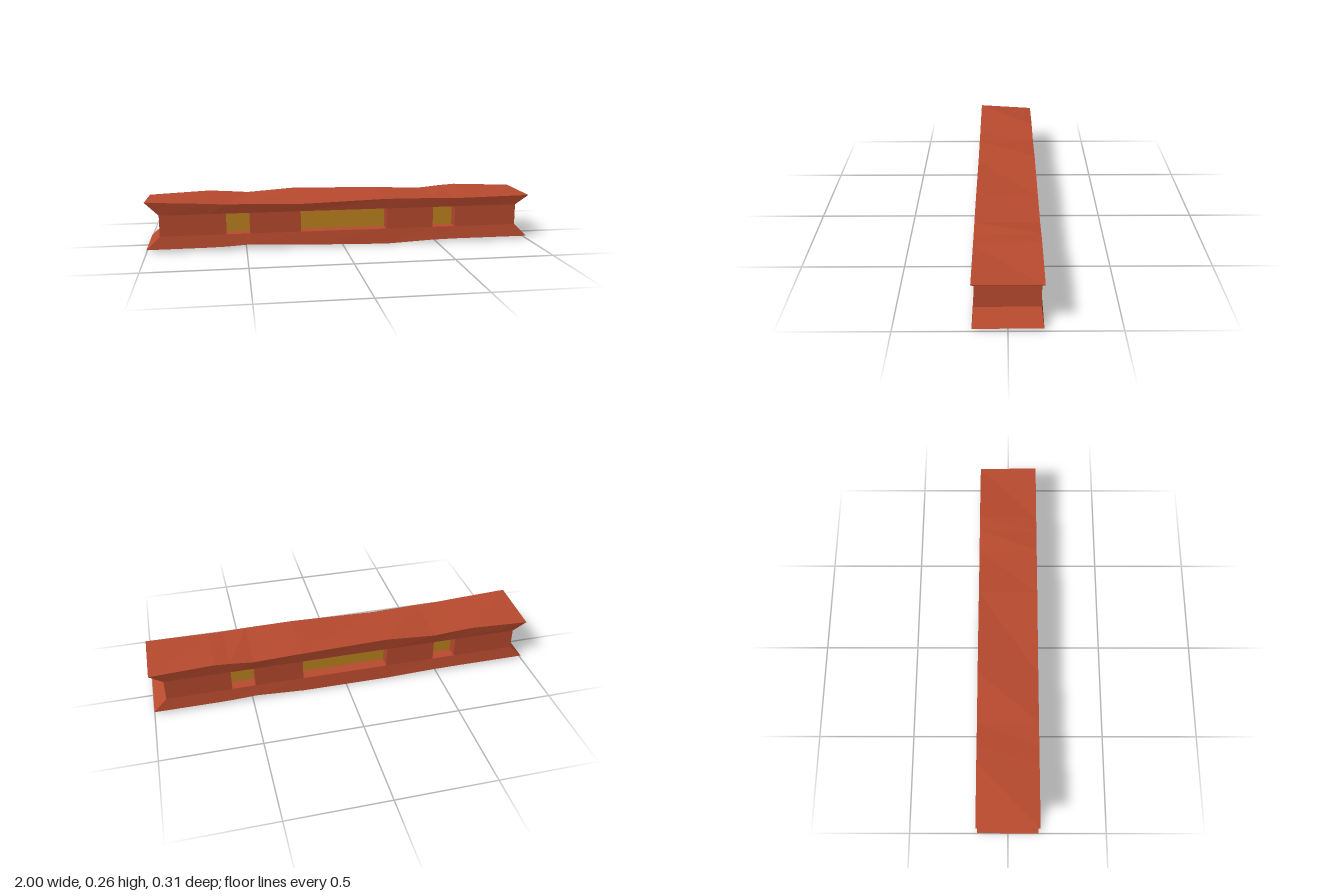
import * as THREE from 'three';

// Stations along the beam; the windows fill the waist between some of them
const X = [-1, -0.69, -0.6, -0.48, -0.22, 0.23, 0.48, 0.6, 0.68, 1];
const TOP_FRONT = [0.258, 0.243, 0.237, 0.236, 0.228, 0.241, 0.238, 0.234, 0.235, 0.239];
const TOP_BACK = [0.238, 0.252, 0.247, 0.238, 0.256, 0.245, 0.236, 0.247, 0.252, 0.238];
const BASE_FRONT = [0.015, 0.016, 0.018, 0.025, 0.013, 0.001, 0.013, 0.015, 0.015, 0.015];
const BASE_BACK = [0.015, 0.015, 0.015, 0.014, 0.006, 0.007, 0.022, 0.016, 0.015, 0.015];
const WINDOWS = [2, 4, 6];
const WAIST_LOW = 0.08, WAIST_HIGH = 0.188;
const EDGE_Z = 0.156, WAIST_Z = 0.146, PANE_Z = 0.086, WAIST_X = 0.932;

// Collects four-cornered faces, counter-clockwise from outside
function faceBuilder() {
  const pos = [];
  return {
    quad(a, b, c, d, flip = false) {
      const q = flip ? [d, c, b, a] : [a, b, c, d];
      for (const k of [0, 1, 2, 0, 2, 3]) pos.push(...q[k]);
    },
    build() {
      const g = new THREE.BufferGeometry();
      g.setAttribute('position', new THREE.Float32BufferAttribute(pos, 3));
      g.computeVertexNormals();
      return g;
    },
  };
}

// Corner of the shell: station i, level 0 (base) to 3 (top), side s = 1 front, -1 back
function corner(i, level, s) {
  if (level === 0) return [X[i], (s > 0 ? BASE_FRONT : BASE_BACK)[i], s * EDGE_Z];
  if (level === 3) return [X[i], (s > 0 ? TOP_FRONT : TOP_BACK)[i], s * EDGE_Z];
  const x = THREE.MathUtils.clamp(X[i], -WAIST_X, WAIST_X);
  return [x, level === 1 ? WAIST_LOW : WAIST_HIGH, s * WAIST_Z];
}

function beamGeometry() {
  const f = faceBuilder();
  const last = X.length - 1;
  for (let i = 0; i < last; i++) {
    // Pinched long sides, open where a window sits
    for (const s of [1, -1]) {
      for (let l = 0; l < 3; l++) {
        if (l === 1 && WINDOWS.includes(i)) continue;
        f.quad(corner(i, l, s), corner(i + 1, l, s), corner(i + 1, l + 1, s), corner(i, l + 1, s), s < 0);
      }
    }
    // Uneven top and underside
    f.quad(corner(i, 3, 1), corner(i + 1, 3, 1), corner(i + 1, 3, -1), corner(i, 3, -1));
    f.quad(corner(i, 0, -1), corner(i + 1, 0, -1), corner(i + 1, 0, 1), corner(i, 0, 1));
  }
  // Pinched ends
  for (const i of [0, last]) {
    for (let l = 0; l < 3; l++) {
      f.quad(corner(i, l, 1), corner(i, l, -1), corner(i, l + 1, -1), corner(i, l + 1, 1), i === 0);
    }
  }
  return f.build();
}

// Four inner walls of every window opening
function revealGeometry() {
  const f = faceBuilder();
  for (const i of WINDOWS) {
    for (const s of [1, -1]) {
      const a = X[i], b = X[i + 1], lo = WAIST_LOW, hi = WAIST_HIGH;
      const o = s * WAIST_Z, n = s * PANE_Z, flip = s < 0;
      f.quad([a, lo, o], [b, lo, o], [b, lo, n], [a, lo, n], flip);
      f.quad([a, hi, n], [b, hi, n], [b, hi, o], [a, hi, o], flip);
      f.quad([a, lo, o], [a, lo, n], [a, hi, n], [a, hi, o], flip);
      f.quad([b, lo, n], [b, lo, o], [b, hi, o], [b, hi, n], flip);
    }
  }
  return f.build();
}

export function createModel() {
  const group = new THREE.Group();
  const red = new THREE.MeshStandardMaterial({ color: 0xb84a2e, flatShading: true });
  const amber = new THREE.MeshStandardMaterial({ color: 0xbd831f, flatShading: true });

  const add = (name, geometry, material) => {
    const mesh = new THREE.Mesh(geometry, material);
    mesh.name = name;
    group.add(mesh);
    return mesh;
  };

  add('beam', beamGeometry(), red);
  add('windowReveals', revealGeometry(), red);

  // Recessed panes on both long sides
  for (const i of WINDOWS) {
    for (const s of [1, -1]) {
      const pane = add(s > 0 ? 'frontPane' : 'backPane',
        new THREE.PlaneGeometry(X[i + 1] - X[i], WAIST_HIGH - WAIST_LOW), amber);
      pane.position.set((X[i] + X[i + 1]) / 2, (WAIST_LOW + WAIST_HIGH) / 2, s * PANE_Z);
      if (s < 0) pane.rotation.y = Math.PI;
    }
  }
  return group;
}
